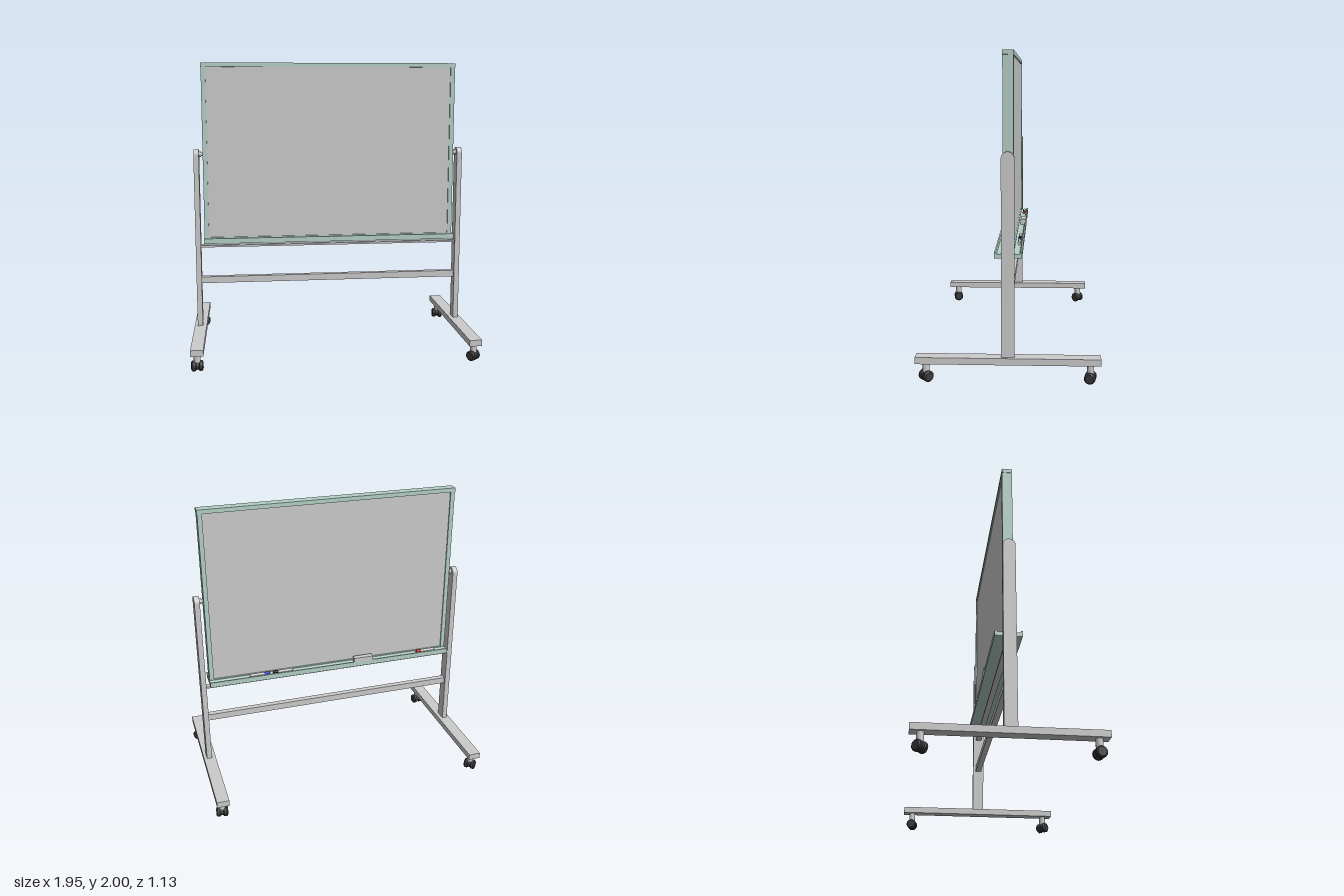
import * as THREE from 'three';

const mat = (color) => new THREE.MeshStandardMaterial({ color });
const grey = mat(0xcccccc), green = mat(0xb4d0c6), dark = mat(0x3a3a3a);

function add(parent, name, geometry, material, x = 0, y = 0, z = 0) {
  const mesh = new THREE.Mesh(geometry, material);
  mesh.name = name;
  mesh.position.set(x, y, z);
  parent.add(mesh);
  return mesh;
}

// Box given by its extents along each axis
function box(parent, name, material, [x0, x1], [y0, y1], [z0, z1]) {
  return add(parent, name, new THREE.BoxGeometry(x1 - x0, y1 - y0, z1 - z0), material,
    (x0 + x1) / 2, (y0 + y1) / 2, (z0 + z1) / 2);
}

// Extrude a (z, y) side profile along x, centred on x = 0
function sideExtrude(shape, width) {
  const g = new THREE.ExtrudeGeometry(shape, { depth: width, bevelEnabled: false, curveSegments: 12 });
  return g.translate(0, 0, -width / 2).rotateY(-Math.PI / 2);
}

// Cylinder lying along x
const rod = (r, length, sides = 16) =>
  new THREE.CylinderGeometry(r, r, length, sides).rotateZ(Math.PI / 2);

// Twin-wheel swivel caster
function caster(angle) {
  const group = new THREE.Group();
  group.name = 'caster';
  add(group, 'casterStem', new THREE.CylinderGeometry(0.022, 0.022, 0.06, 16), grey, 0, 0.09, 0);
  const profile = [[0, -0.016], [0.027, -0.016], [0.035, -0.008], [0.035, 0.008], [0.027, 0.016], [0, 0.016]]
    .map(([r, h]) => new THREE.Vector2(r, h));
  const wheelMat = dark.clone();
  wheelMat.flatShading = true;
  for (const s of [-1, 1]) {
    add(group, 'casterWheel', new THREE.LatheGeometry(profile, 16).rotateZ(Math.PI / 2), wheelMat, s * 0.023, 0.035, 0);
  }
  add(group, 'casterHub', rod(0.028, 0.03), dark, 0, 0.037, 0);
  group.rotation.y = angle;
  return group;
}

// Marker lying along x, with the coloured cap at the dir end
function marker(parent, x0, x1, dir, color) {
  const group = new THREE.Group();
  group.name = 'marker';
  const length = x1 - x0, cap = 0.036;
  add(group, 'markerBody', rod(0.01, length - cap, 12), grey, -dir * cap / 2);
  add(group, 'markerCap', rod(0.011, cap, 12), mat(color), dir * (length - cap) / 2);
  group.position.set((x0 + x1) / 2, 0.797, -0.058);
  parent.add(group);
}

export function createModel() {
  const model = new THREE.Group();
  model.name = 'mobileWhiteboard';

  // Board: recessed writing panel in a coloured frame
  const board = new THREE.Group();
  board.name = 'board';
  model.add(board);
  box(board, 'writingPanel', grey, [-0.86, 0.86], [0.785, 1.98], [-0.024, 0.024]);
  box(board, 'frameTop', green, [-0.885, 0.885], [1.972, 2], [-0.034, 0.034]);
  box(board, 'frameBottom', green, [-0.885, 0.885], [0.76, 0.795], [-0.034, 0.034]);
  for (const s of [-1, 1]) {
    const [a, b] = [0.852 * s, 0.882 * s].sort((p, q) => p - q);
    box(board, 'frameSide', green, [a, b], [0.795, 1.972], [-0.033, 0.033]);
  }

  // Lipped pen trays on both faces
  const tray = new THREE.Shape([[0.03, 0.76], [0.085, 0.76], [0.085, 0.796], [0.076, 0.796],
    [0.07, 0.787], [0.05, 0.785], [0.03, 0.79]].map(([z, y]) => new THREE.Vector2(z, y)));
  for (const turn of [0, Math.PI]) {
    add(board, 'penTray', sideExtrude(tray, 1.77), green).rotation.y = turn;
  }

  // Eraser and markers on the back tray
  box(board, 'eraser', grey, [-0.295, -0.155], [0.787, 0.825], [-0.085, -0.045]);
  marker(board, -0.785, -0.645, 1, 0xc82820);
  marker(board, 0.3, 0.438, 1, 0x1c1c1c);
  marker(board, 0.465, 0.605, -1, 0x2838c8);

  // Rails between the posts
  box(model, 'crossbar', grey, [-0.912, 0.912], [0.465, 0.51], [-0.02, 0.02]);
  box(model, 'upperRail', grey, [-0.912, 0.912], [0.722, 0.735], [-0.02, 0.02]);

  // Round-topped post profile
  const post = new THREE.Shape();
  post.moveTo(-0.04, 0.155);
  post.lineTo(0.04, 0.155);
  post.lineTo(0.04, 1.37);
  post.absarc(0, 1.37, 0.04, 0, Math.PI, false);
  post.closePath();

  // Side stands: post, pivot, foot and two casters
  for (const s of [-1, 1]) {
    const stand = new THREE.Group();
    stand.name = s > 0 ? 'leftStand' : 'rightStand';
    model.add(stand);
    add(stand, 'post', sideExtrude(post, 0.036), grey, s * 0.927);
    add(stand, 'pivotPin', rod(0.012, 0.05), grey, s * 0.895, 1.375);
    add(stand, 'pivotCollar', rod(0.019, 0.016), grey, s * 0.902, 1.375);
    add(stand, 'foot', new THREE.BoxGeometry(0.084, 0.042, 1.13), grey, s * 0.924, 0.139, 0);
    for (const e of [-1, 1]) {
      const wheel = caster(0.45 * e + (s > 0 ? 0.25 : -0.3));
      wheel.position.set(s * 0.926, 0, e * 0.502);
      stand.add(wheel);
    }
  }
  return model;
}
